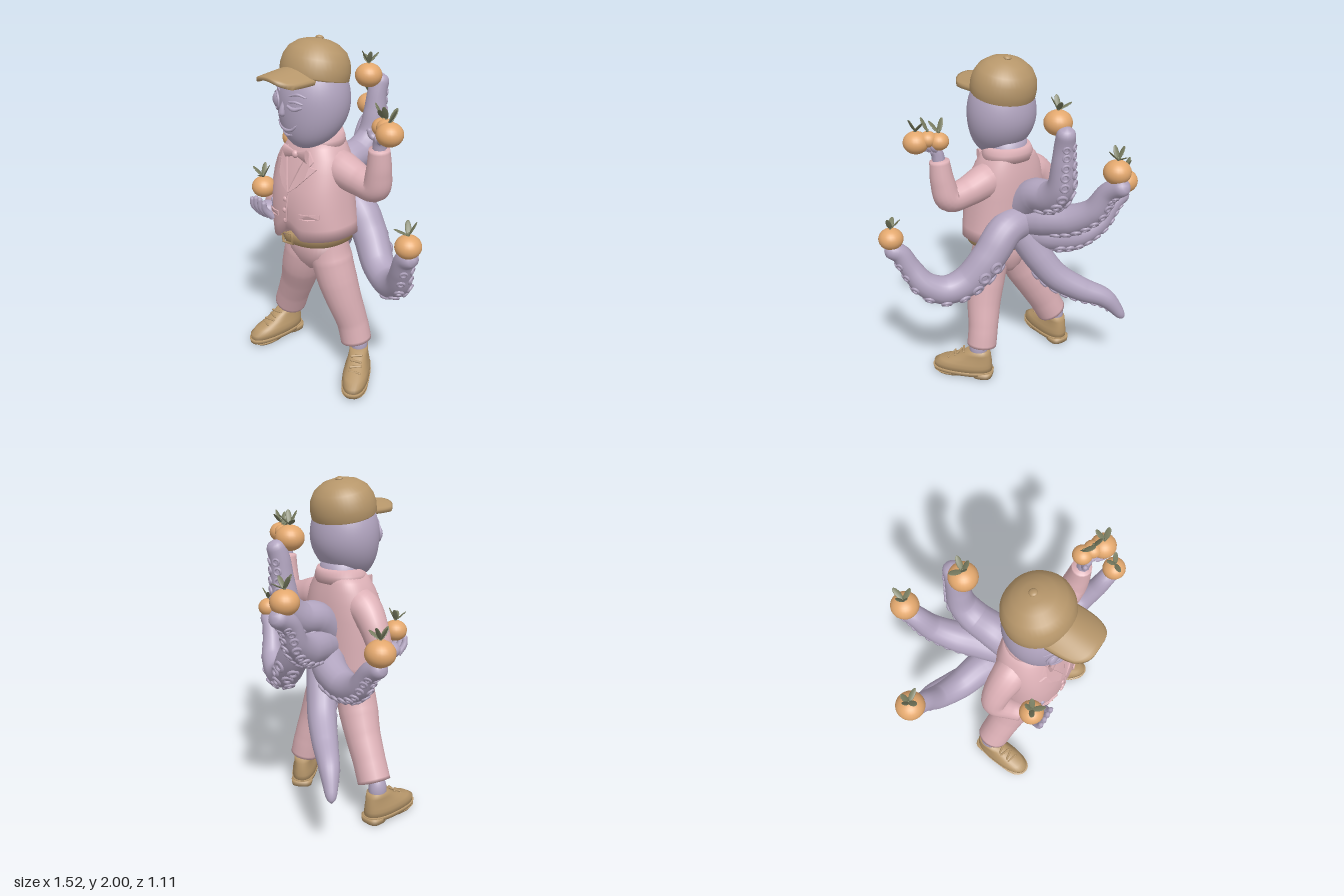
import * as THREE from 'three';
import { mergeVertices } from 'three/addons/utils/BufferGeometryUtils.js';

const paint = (name, color) => {
  const m = new THREE.MeshStandardMaterial({ color });
  m.name = name;
  return m;
};
const V = (p) => new THREE.Vector3(...p);
const smooth = (g) => {
  g.deleteAttribute('uv');
  g.deleteAttribute('normal');
  g = mergeVertices(g, 1e-5);
  g.computeVertexNormals();
  return g;
};
const lerpList = (list, t) => {
  const f = Math.min(Math.max(t, 0), 1) * (list.length - 1), i = Math.min(Math.floor(f), list.length - 2);
  return list[i] + (list[i + 1] - list[i]) * (f - i);
};
// Moves every vertex by a rule
const warp = (g, rule) => {
  const p = g.attributes.position, v = new THREE.Vector3();
  for (let i = 0; i < p.count; i++) {
    v.fromBufferAttribute(p, i);
    rule(v, i);
    p.setXYZ(i, v.x, v.y, v.z);
  }
  return g;
};
// Tube with changing radius; the end closes over the last (1 - roundFrom) of its length
function taperTube(points, radii, roundFrom = 0.93, seg = 48, sides = 14) {
  const curve = new THREE.CatmullRomCurve3(points.map(V));
  const radius = (t) => lerpList(radii, t) * Math.sqrt(Math.max(0, 1 - Math.max(0, (t - roundFrom) / (1 - roundFrom)) ** 2));
  const g = warp(new THREE.TubeGeometry(curve, seg, 1, sides), (v, i) => {
    const t = Math.floor(i / (sides + 1)) / seg, c = curve.getPointAt(t);
    v.sub(c).multiplyScalar(radius(t)).add(c);
  });
  return { geometry: smooth(g), curve, radius };
}
// Level rings [cx, y, cz, rx, rz] from bottom to top, capped at both ends
function loft(rings, power = 2.4, n = 40) {
  const pos = [], idx = [], k = rings.length;
  const se = (c) => Math.sign(c) * Math.abs(c) ** (2 / power);
  for (const [cx, y, cz, rx, rz] of rings) for (let j = 0; j < n; j++) {
    const a = (j / n) * Math.PI * 2;
    pos.push(cx + rx * se(Math.cos(a)), y, cz + rz * se(Math.sin(a)));
  }
  for (const r of [rings[0], rings[k - 1]]) pos.push(r[0], r[1], r[2]);
  for (let j = 0; j < n; j++) {
    const j2 = (j + 1) % n, top = (k - 1) * n;
    for (let i = 0; i < k - 1; i++) {
      const a = i * n + j, b = i * n + j2;
      idx.push(a, a + n, b, b, a + n, b + n);
    }
    idx.push(k * n, j, j2, k * n + 1, top + j2, top + j);
  }
  const g = new THREE.BufferGeometry();
  g.setAttribute('position', new THREE.Float32BufferAttribute(pos, 3));
  g.setIndex(idx);
  g.computeVertexNormals();
  return g;
}

export function createModel() {
  const root = new THREE.Group();
  const skin = paint('lavender skin', 0xb2a5c0), suit = paint('pink suit', 0xdcb0b6);
  const tan = paint('tan leather', 0xb6966a), peel = paint('orange peel', 0xe3a86e), leafGreen = paint('leaf green', 0x787c60);
  const add = (name, geometry, material, parent = root) => {
    const m = new THREE.Mesh(geometry, material);
    m.name = name;
    parent.add(m);
    return m;
  };
  const ball = (name, mat, pos, size, parent = root) => {
    const m = add(name, new THREE.SphereGeometry(1, 24, 16), mat, parent);
    m.position.set(...pos);
    m.scale.set(...size);
    return m;
  };
  const tube = (name, mat, pts, radii, from = 0.9, seg = 16, sides = 8) => add(name, taperTube(pts, radii, from, seg, sides).geometry, mat);

  // Head and neck, chin pushed forward
  const headC = [-0.055, 1.67, 0.24];
  const headGeo = warp(new THREE.SphereGeometry(1, 40, 28), (v) => {
    v.set(v.x * 0.205, v.y * 0.262, v.z * 0.194);
    if (v.y < 0) v.z += v.y * v.y * 0.9;
  });
  add('head', smooth(headGeo), skin).position.set(...headC);
  add('neck', loft([[-0.06, 1.36, 0.2, 0.12, 0.12], [-0.06, 1.52, 0.22, 0.125, 0.13]], 2), skin);
  const faceZ = (x, y) => {
    const dx = (x - headC[0]) / 0.205, dy = (y - headC[1]) / 0.262;
    return headC[2] + 0.194 * Math.sqrt(Math.max(0, 1 - dx * dx - dy * dy)) + (dy < 0 ? 0.9 * (y - headC[1]) ** 2 : 0);
  };
  const faceLine = (name, pts, r) => tube(name, skin, pts.map(([x, y]) => [x, y, faceZ(x, y) + 0.001]), r);
  tube('nose', skin, [[-0.09, 1.68, faceZ(-0.09, 1.68) - 0.012], [-0.095, 1.645, faceZ(-0.095, 1.645) - 0.002], [-0.1, 1.6, faceZ(-0.1, 1.6) + 0.004]], [0.012, 0.018, 0.024], 0.7);
  ball('openEye', skin, [-0.17, 1.67, faceZ(-0.17, 1.67) - 0.012], [0.042, 0.044, 0.024]);
  const lid = add('openEyeRim', new THREE.TorusGeometry(0.047, 0.007, 8, 28), skin);
  lid.position.set(-0.17, 1.67, faceZ(-0.17, 1.67));
  lid.rotation.y = -0.55;
  faceLine('winkingEye', [[-0.05, 1.668], [-0.01, 1.655], [0.04, 1.67]], [0.008, 0.012, 0.006]);
  faceLine('winkFold', [[-0.04, 1.69], [0, 1.695], [0.045, 1.685]], [0.005, 0.008, 0.005]);
  faceLine('rightBrow', [[-0.215, 1.725], [-0.17, 1.745], [-0.12, 1.73]], [0.004, 0.008, 0.004]);
  faceLine('leftBrow', [[-0.04, 1.72], [0.01, 1.735], [0.06, 1.72]], [0.004, 0.008, 0.004]);
  faceLine('smile', [[-0.18, 1.555], [-0.14, 1.535], [-0.08, 1.527], [-0.03, 1.54], [0, 1.57]], [0.005, 0.008, 0.009, 0.008, 0.005]);
  faceLine('lowerLip', [[-0.13, 1.505], [-0.085, 1.497], [-0.04, 1.507]], [0.004, 0.009, 0.004]);

  // Cap: tilted dome, button and curved brim
  const cap = new THREE.Group();
  cap.name = 'cap';
  cap.position.set(-0.057, 1.785, 0.232);
  cap.rotation.x = -0.22;
  root.add(cap);
  const profile = [[0.18, 0.02], [0.192, -0.004], [0.2, 0.004], [0.202, 0.05], [0.192, 0.1], [0.165, 0.146], [0.115, 0.182], [0.06, 0.199], [0, 0.205]];
  add('capDome', new THREE.LatheGeometry(profile.map((p) => new THREE.Vector2(...p)), 40), tan, cap).scale.set(0.955, 1, 0.92);
  ball('capButton', tan, [0, 0.206, 0], [0.022, 0.012, 0.022], cap);
  const brim = warp(new THREE.BoxGeometry(2, 0.02, 1, 24, 1, 10), (v) => {
    const u = v.x, w = v.z + 0.5;
    v.set(-0.06 + 0.138 * u * (1 - 0.1 * w ** 4), v.y + 1.862 - 0.028 * w - 0.065 * u * u * (1 - 0.4 * w), 0.33 + 0.237 * w * (1 - 0.28 * u ** 4));
  });
  add('capBrim', smooth(brim), tan);

  // Jacket with slanted hem and notch
  const jacket = [[-0.058, 0.885, 0.24, 0.266, 0.19], [-0.062, 0.96, 0.244, 0.261, 0.194], [-0.068, 1.08, 0.247, 0.25, 0.197],
    [-0.07, 1.2, 0.237, 0.24, 0.19], [-0.07, 1.3, 0.222, 0.222, 0.172], [-0.07, 1.37, 0.213, 0.198, 0.155],
    [-0.07, 1.42, 0.207, 0.168, 0.14], [-0.065, 1.455, 0.203, 0.14, 0.13]];
  const jacketGeo = warp(loft(jacket, 2.4, 64), (v) => {
    const w = Math.min(1, Math.max(0, (1.2 - v.y) / 0.3));
    v.y += w * 0.18 * (v.x + 0.06) + (v.z > 0.3 ? w * 0.08 * Math.max(0, 1 - Math.abs(v.x + 0.085) / 0.1) : 0);
  });
  jacketGeo.computeVertexNormals();
  add('jacket', jacketGeo, suit);
  add('collar', loft([[-0.065, 1.41, 0.205, 0.165, 0.143], [-0.063, 1.455, 0.2, 0.15, 0.137], [-0.06, 1.49, 0.2, 0.135, 0.128]], 2.1), suit);
  const chestZ = (x, y) => {
    let i = 0;
    while (i < jacket.length - 2 && y > jacket[i + 1][1]) i++;
    const a = jacket[i], b = jacket[i + 1], t = (y - a[1]) / (b[1] - a[1]);
    const [cx, , cz, rx, rz] = a.map((q, k) => q + (b[k] - q) * t);
    return cz + rz * Math.max(0, 1 - Math.abs((x - cx) / rx) ** 2.4) ** (1 / 2.4);
  };
  const panel = (name, pts) => {
    const g = new THREE.ExtrudeGeometry(new THREE.Shape(pts.map((p) => new THREE.Vector2(...p))), { depth: 0.009, bevelEnabled: false });
    warp(g, (v) => { v.z += chestZ(v.x, v.y) + 0.002; });
    g.computeVertexNormals();
    add(name, g, suit);
  };
  for (const [s, side] of [[1, 'left'], [-1, 'right']]) {
    const m = (pts) => pts.map(([x, y]) => [-0.07 + s * x, y]);
    panel(side + 'Lapel', m([[0, 1.175], [0.05, 1.21], [0.1, 1.265], [0.15, 1.325], [0.11, 1.335], [0.125, 1.36], [0.085, 1.41], [0.05, 1.32], [0.02, 1.24]]));
    const x = s > 0 ? 0.02 : -0.26, y = s > 0 ? 1.045 : 1.0;
    panel(side + 'PocketFlap', [[x, y], [x + 0.055, y + 0.002], [x + 0.11, y + 0.014], [x + 0.11, y + 0.042], [x + 0.055, y + 0.032], [x, y + 0.028]]);
    // Bow tie wing
    const wing = add(side + 'BowWing', new THREE.CylinderGeometry(0.042, 0.014, 0.08, 12), suit);
    wing.position.set(-0.065 + s * 0.045, 1.385, 0.372);
    wing.rotation.set(0.15, 0, -s * Math.PI / 2);
    wing.scale.z = 0.4;
  }
  ball('bowKnot', suit, [-0.065, 1.385, 0.378], [0.02, 0.022, 0.018]);
  tube('jacketEdge', suit, [[-0.07, 1.17], [-0.075, 1.08], [-0.085, 0.985]].map(([x, y]) => [x, y, chestZ(x, y) + 0.002]), [0.005, 0.005]);
  [1.13, 1.065, 1.0].forEach((y) => ball('button', suit, [-0.095, y, chestZ(-0.095, y)], [0.015, 0.015, 0.01]));

  // Trousers and belt
  add('trouserHips', loft([[-0.05, 0.665, 0.232, 0.035, 0.075], [-0.05, 0.71, 0.234, 0.1, 0.11], [-0.045, 0.78, 0.24, 0.165, 0.138], [-0.04, 0.91, 0.243, 0.195, 0.155]]), suit);
  const leg = (side, pts, r) => add(side + 'TrouserLeg', taperTube(pts, r, 0.985, 40, 20).geometry, suit);
  leg('right', [[-0.125, 0.89, 0.24], [-0.15, 0.77, 0.237], [-0.19, 0.65, 0.23], [-0.26, 0.5, 0.2], [-0.34, 0.35, 0.175], [-0.405, 0.22, 0.155]], [0.1, 0.122, 0.12, 0.107, 0.1, 0.1]);
  leg('left', [[0.05, 0.89, 0.24], [0.06, 0.77, 0.237], [0.09, 0.65, 0.23], [0.13, 0.5, 0.21], [0.17, 0.33, 0.175], [0.195, 0.2, 0.165]], [0.1, 0.12, 0.115, 0.103, 0.092, 0.092]);
  const belt = add('belt', loft([[0, -0.034, 0, 0.204, 0.17], [0, 0.034, 0, 0.204, 0.17]]), tan);
  belt.position.set(-0.04, 0.888, 0.243);
  belt.rotation.z = 0.12;
  const buckle = add('buckle', new THREE.TorusGeometry(0.042, 0.008, 6, 4).rotateZ(Math.PI / 4), tan);
  buckle.position.set(-0.11, 0.878, 0.415);
  buckle.scale.set(1.3, 1, 1);
  buckle.rotation.z = 0.12;

  // Shoes, toe along local +z
  for (const [side, x, z, turn] of [['right', -0.425, 0.06, -0.07], ['left', 0.165, 0.095, 0.617]]) {
    const shoe = new THREE.Group();
    shoe.name = side + 'Shoe';
    shoe.position.set(x, 0, z);
    shoe.rotation.y = turn;
    root.add(shoe);
    add('shoeUpper', loft([[0, 0.03, 0.195, 0.074, 0.19], [0, 0.075, 0.195, 0.077, 0.19], [0, 0.1, 0.175, 0.071, 0.17],
      [0, 0.125, 0.14, 0.061, 0.132], [0, 0.16, 0.105, 0.055, 0.093], [0, 0.19, 0.09, 0.053, 0.068]], 2.4), tan, shoe);
    add('sole', loft([[0, 0.018, 0.2, 0.076, 0.19], [0, 0.045, 0.197, 0.08, 0.198]], 2.5), tan, shoe);
    add('forefootTread', loft([[0, 0.003, 0.265, 0.066, 0.1], [0, 0.022, 0.26, 0.076, 0.128]], 2.5), tan, shoe);
    add('heel', loft([[0, 0, 0.065, 0.064, 0.062], [0, 0.035, 0.065, 0.068, 0.066]], 3), tan, shoe);
    for (let i = 0; i < 4; i++) {
      const lace = add('lace', new THREE.CapsuleGeometry(0.007, 0.06, 4, 8), tan, shoe);
      lace.position.set(0, 0.12 + i * 0.018, 0.275 - i * 0.029);
      lace.rotation.set(0, i % 2 ? 0.25 : -0.25, Math.PI / 2);
    }
    ball('ankle', skin, [0, 0.2, 0.09], [0.052, 0.09, 0.058], shoe);
  }

  // Sleeves
  const arm = (name, pts, r) => add(name, taperTube(pts, r, 0.975, 40, 18).geometry, suit);
  arm('leftSleeve', [[0.01, 1.32, 0.2], [0.13, 1.295, 0.2], [0.26, 1.265, 0.2], [0.365, 1.262, 0.205], [0.395, 1.36, 0.215], [0.405, 1.505, 0.225]], [0.1, 0.1, 0.085, 0.078, 0.067, 0.054]);
  arm('rightSleeve', [[-0.15, 1.32, 0.2], [-0.27, 1.27, 0.19], [-0.35, 1.18, 0.175], [-0.39, 1.08, 0.18], [-0.36, 1.02, 0.25], [-0.33, 0.99, 0.33]], [0.1, 0.1, 0.085, 0.074, 0.066, 0.055]);

  // Hands
  tube('leftWrist', skin, [[0.405, 1.47, 0.225], [0.412, 1.53, 0.23], [0.43, 1.57, 0.24]], [0.038, 0.036, 0.035], 0.8);
  ball('rightPalm', skin, [-0.305, 0.99, 0.385], [0.062, 0.05, 0.062]);
  for (let i = 0; i < 4; i++) {
    const x = -0.355 + i * 0.034;
    tube('rightFinger', skin, [[x + 0.015, 0.965, 0.41], [x, 1.02, 0.452], [x + 0.005, 1.1 - Math.abs(i - 1.5) * 0.015, 0.463]], [0.02, 0.019, 0.013]);
    tube('leftFinger', skin, [[0.42 + i * 0.01, 1.55, 0.22 + i * 0.018], [0.45 + i * 0.01, 1.575, 0.21 + i * 0.033], [0.46 + i * 0.008, 1.625, 0.22 + i * 0.03]], [0.016, 0.015, 0.011]);
  }
  tube('rightThumb', skin, [[-0.27, 1.0, 0.38], [-0.235, 1.04, 0.39], [-0.245, 1.09, 0.4]], [0.02, 0.018, 0.012]);
  tube('leftThumb', skin, [[0.41, 1.54, 0.23], [0.37, 1.56, 0.25], [0.36, 1.6, 0.26]], [0.018, 0.016, 0.011]);

  // Oranges with stem and leaves: x, y, z, radius, leaf count, turn
  const fruits = [[-0.68, 1.2, -0.175, 0.082, 4, 0], [-0.285, 1.445, -0.457, 0.078, 4, 1.3], [-0.07, 1.71, -0.21, 0.079, 4, 2.6], [0.69, 1.07, 0.32, 0.07, 3, 3.9],
    [-0.335, 1.12, 0.385, 0.069, 4, 5.2], [0.41, 1.605, 0.21, 0.055, 2, 0.4], [0.46, 1.62, 0.24, 0.05, 1, 2], [0.515, 1.605, 0.275, 0.07, 2, 3.2]];
  fruits.forEach(([x, y, z, r, leaves, turn]) => {
    const fruit = new THREE.Group();
    fruit.name = 'orange';
    fruit.position.set(x, y, z);
    fruit.rotation.y = turn;
    root.add(fruit);
    ball('fruit', peel, [0, 0, 0], [r, r * 0.88, r], fruit);
    ball('stem', leafGreen, [0, r * 0.9, 0], [0.007, 0.018, 0.007], fruit);
    for (let i = 0; i < leaves; i++) {
      const hinge = new THREE.Group();
      hinge.name = 'leafHinge';
      hinge.position.y = r * 0.88;
      hinge.rotation.set(0, i * 1.6, 0.5 + 0.3 * (i % 3), 'YXZ');
      fruit.add(hinge);
      ball('leaf', leafGreen, [0, 0.042, 0], [0.004, 0.042, 0.016], hinge);
    }
  });

  // Tentacles from the back, two rows of suckers on the outer underside
  const thick = [0.1, 0.1, 0.09, 0.074, 0.06, 0.05];
  const tentacles = [
    ['lowRight', [[-0.07, 1.0, 0.08], [-0.2, 0.94, -0.02], [-0.37, 0.905, -0.08], [-0.51, 0.96, -0.13], [-0.61, 1.08, -0.16], [-0.71, 1.13, -0.175]], [-0.3, -1, -0.35], thick],
    ['backRight', [[-0.07, 1.05, 0.08], [-0.13, 1.08, -0.08], [-0.19, 1.11, -0.22], [-0.24, 1.19, -0.34], [-0.27, 1.32, -0.42], [-0.285, 1.39, -0.54]], [-0.4, -1, -0.9], thick],
    ['upper', [[-0.07, 1.13, 0.1], [-0.08, 1.23, -0.03], [-0.08, 1.26, -0.15], [-0.075, 1.34, -0.235], [-0.065, 1.48, -0.262], [-0.06, 1.6, -0.275], [-0.045, 1.71, -0.305]], [0, -1, -1], thick],
    ['left', [[-0.05, 1.05, 0.06], [0.08, 1.03, 0.05], [0.2, 0.89, 0.065], [0.32, 0.75, 0.12], [0.44, 0.71, 0.17], [0.55, 0.77, 0.22], [0.61, 0.88, 0.27], [0.66, 0.98, 0.3], [0.74, 1.01, 0.32]], [0.6, -1, 0], [0.1, 0.104, 0.096, 0.084, 0.062, 0.05]],
    ['hanging', [[-0.05, 0.96, 0.06], [-0.12, 0.81, -0.01], [-0.2, 0.675, -0.09], [-0.32, 0.58, -0.19], [-0.44, 0.51, -0.285], [-0.535, 0.36, -0.365]], [-0.1, -1, 0.4], [0.09, 0.09, 0.084, 0.074, 0.058, 0.025]],
  ];
  for (const [name, pts, under, radii] of tentacles) {
    const t = taperTube(pts, radii, 0.94, 64, 18);
    add(name + 'Tentacle', t.geometry, skin);
    for (let i = 0; i < 9; i++) for (const s of [-1, 1]) {
      const u = 0.3 + i * 0.07, r = t.radius(u), along = t.curve.getTangentAt(u);
      const dir = V(under).projectOnPlane(along).normalize().applyAxisAngle(along, s * 0.5);
      const sucker = add(name + 'Sucker', new THREE.TorusGeometry(r * 0.29, r * 0.12, 6, 14), skin);
      sucker.position.copy(t.curve.getPointAt(u)).addScaledVector(dir, r);
      sucker.quaternion.setFromUnitVectors(new THREE.Vector3(0, 0, 1), dir);
    }
  }
  return root;
}
